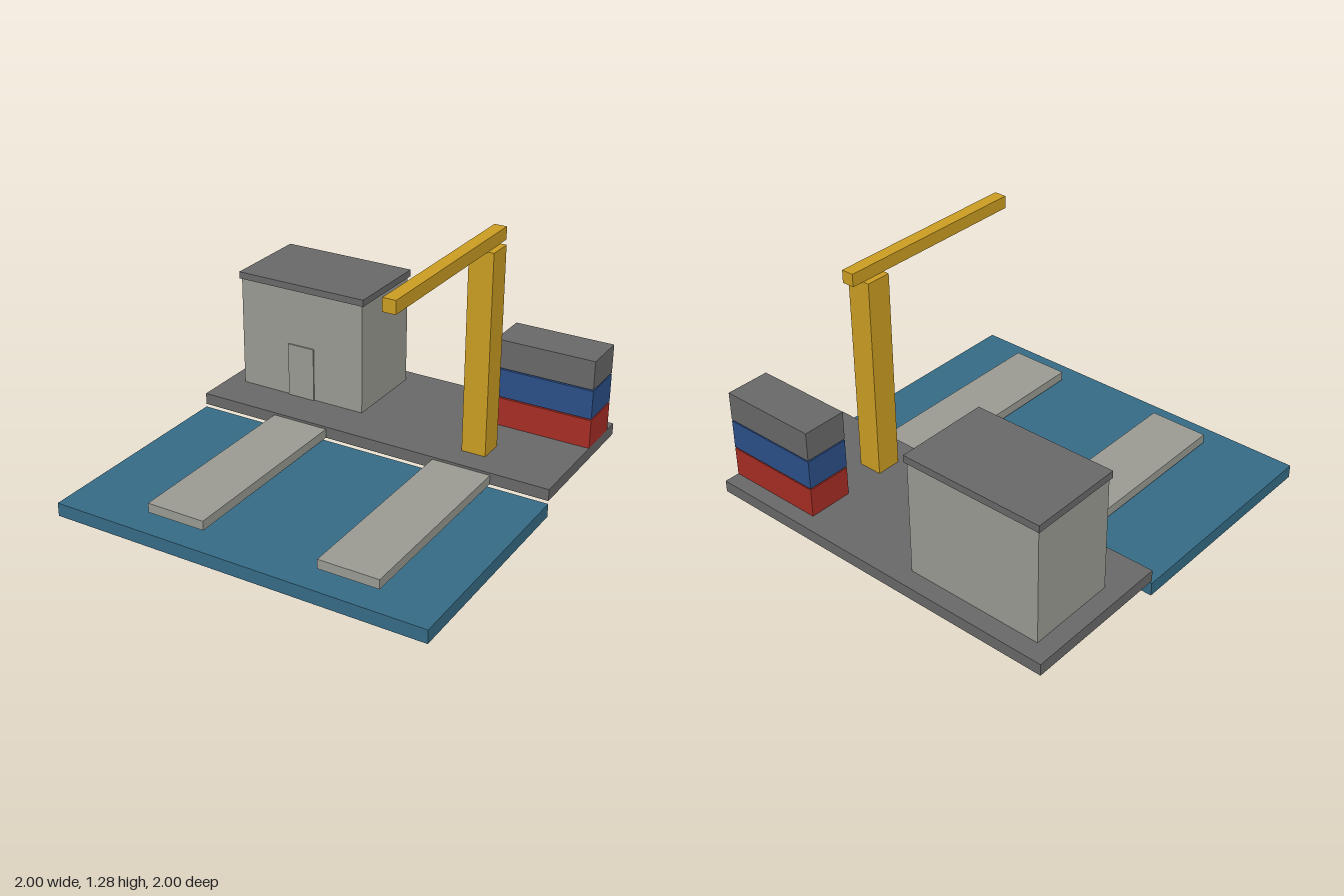
import * as THREE from 'three';

const mat = (name, color) => {
  const m = new THREE.MeshStandardMaterial({ color });
  m.name = name;
  return m;
};

export function createModel() {
  const water = mat('water blue', 0x356b85);
  const dark = mat('dark grey', 0x686868);
  const concrete = mat('concrete grey', 0x9a9a93);
  const yellow = mat('crane yellow', 0xca9c22);
  const red = mat('container red', 0xa62d24);
  const blue = mat('container blue', 0x2b4f88);

  const group = new THREE.Group();
  group.name = 'harbour';

  // Box given by its extents along each axis
  const box = (parent, name, material, [x0, x1], [y0, y1], [z0, z1]) => {
    const mesh = new THREE.Mesh(new THREE.BoxGeometry(x1 - x0, y1 - y0, z1 - z0), material);
    mesh.position.set((x0 + x1) / 2, (y0 + y1) / 2, (z0 + z1) / 2);
    mesh.name = name;
    parent.add(mesh);
  };
  const subgroup = (name) => {
    const g = new THREE.Group();
    g.name = name;
    group.add(g);
    return g;
  };

  // Water and quay
  const deckY = 0.148;
  box(group, 'water', water, [-1, 1], [0, 0.07], [-0.2, 1]);
  box(group, 'quayDeck', dark, [-1, 1], [0.086, deckY], [-1, -0.2]);

  // Two piers reaching over the water
  const piers = subgroup('piers');
  for (const x of [-0.402, 0.532]) {
    box(piers, 'pier', concrete, [x - 0.158, x + 0.158], [0.086, 0.135], [-0.2, 0.865]);
  }

  // Warehouse with overhanging roof and a thin door
  const warehouse = subgroup('warehouse');
  box(warehouse, 'walls', concrete, [-0.905, -0.168], [deckY, 0.753], [-0.905, -0.432]);
  box(warehouse, 'roof', dark, [-0.915, -0.157], [0.753, 0.79], [-0.915, -0.422]);
  box(warehouse, 'door', concrete, [-0.615, -0.46], [deckY, 0.443], [-0.432, -0.424]);

  // Crane mast and boom
  const crane = subgroup('crane');
  box(crane, 'mast', yellow, [0.466, 0.596], [deckY, 1.217], [-0.468, -0.335]);
  box(crane, 'boom', yellow, [0.498, 0.564], [1.217, 1.283], [-0.533, 0.533]);

  // Stack of three containers with small gaps
  const stack = subgroup('containerStack');
  [red, blue, dark].forEach((material, i) => {
    const y = deckY + i * 0.161;
    box(stack, 'container', material, [0.466, 1], [y, y + 0.154], [-0.918, -0.681]);
  });

  return group;
}
